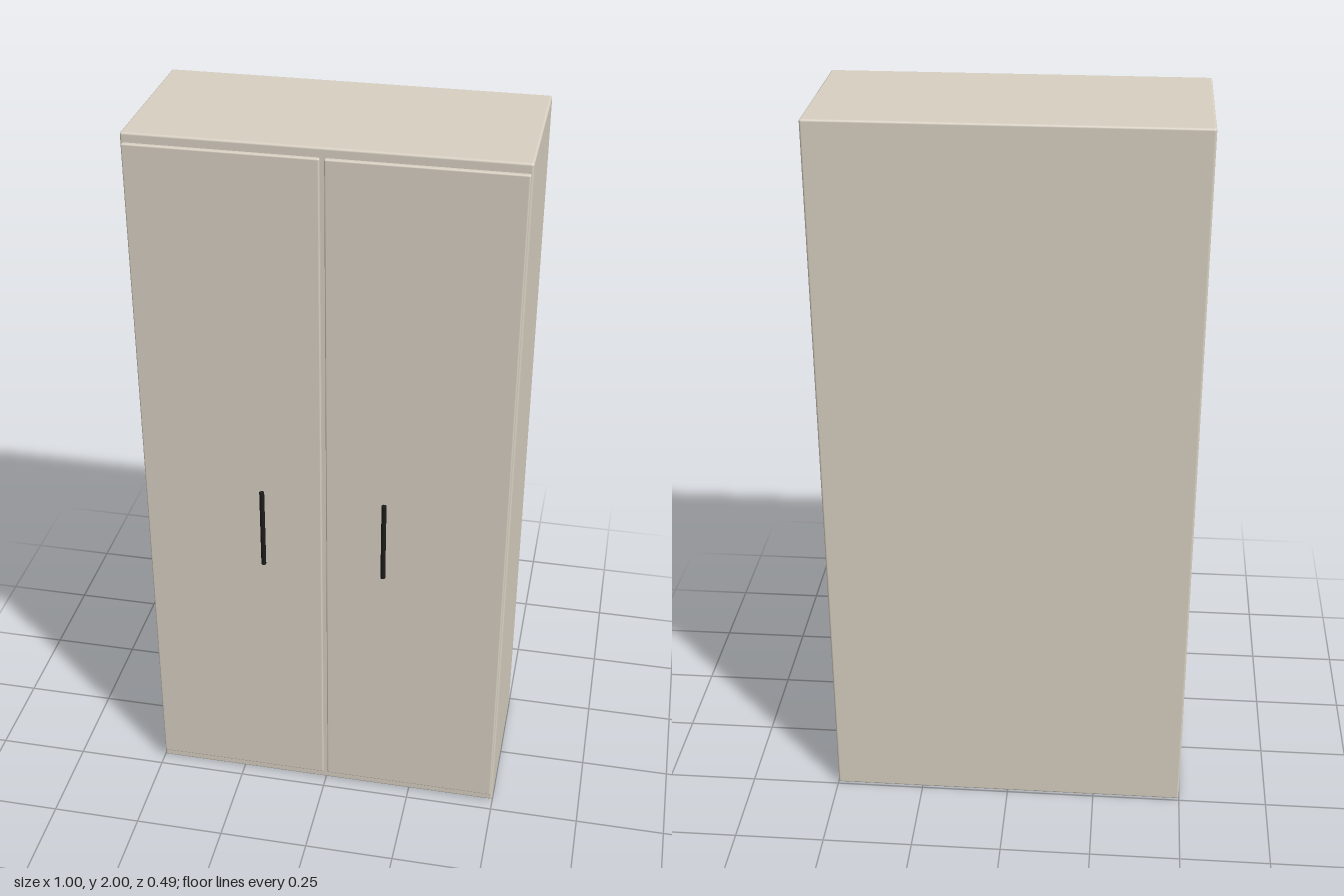
import * as THREE from 'three';
import { RoundedBoxGeometry } from 'three/addons/geometries/RoundedBoxGeometry.js';

const panelMaterial = new THREE.MeshStandardMaterial({ color: 0xd8d0c2 });
const handleMaterial = new THREE.MeshStandardMaterial({ color: 0x1c1c1c });

// Softly rounded box given by its centre and size
function roundedBox(name, size, position, radius) {
  const mesh = new THREE.Mesh(new RoundedBoxGeometry(...size, 3, radius), panelMaterial);
  mesh.name = name;
  mesh.position.set(...position);
  return mesh;
}

export function createModel() {
  const wardrobe = new THREE.Group();
  wardrobe.name = 'wardrobe';

  // Cabinet body
  wardrobe.add(roundedBox('cabinetBody', [0.998, 2, 0.455], [0, 1, -0.0165], 0.006));

  // Two doors, each with a slim round bar handle
  for (const [side, label] of [[1, 'left'], [-1, 'right']]) {
    const door = new THREE.Group();
    door.name = label + 'Door';
    door.add(roundedBox(label + 'DoorPanel', [0.488, 1.946, 0.014], [side * 0.25, 1.003, 0.217], 0.004));

    const handle = new THREE.Mesh(new THREE.CylinderGeometry(0.0067, 0.0067, 0.235, 20), handleMaterial);
    handle.name = label + 'Handle';
    handle.position.set(side * 0.166, 0.903, 0.2373);
    door.add(handle);
    wardrobe.add(door);
  }
  return wardrobe;
}
